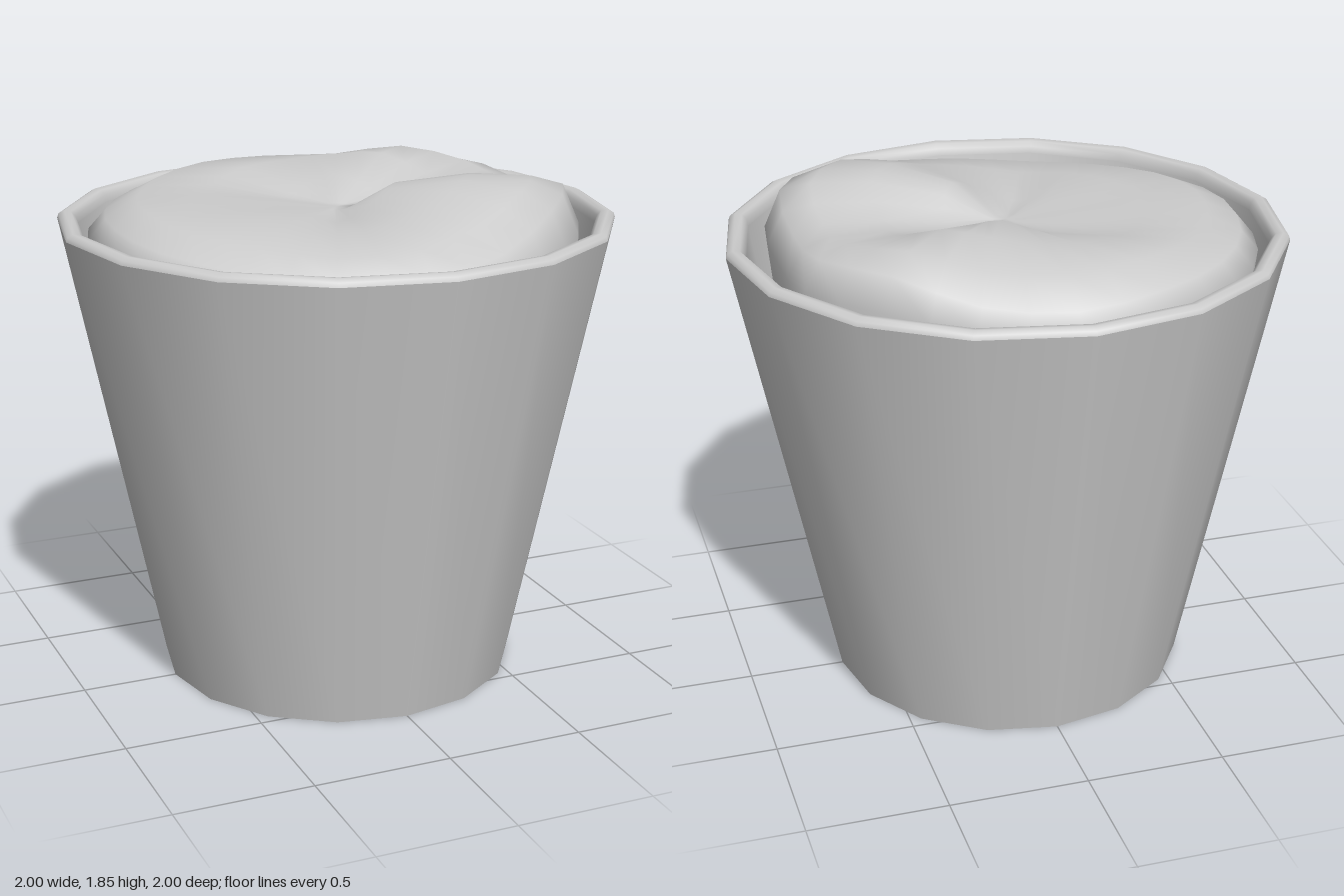
import * as THREE from 'three';

const SIDES = 16;
const material = new THREE.MeshStandardMaterial({ color: 0xcccccc, side: THREE.DoubleSide });

function part(name, geometry) {
  const mesh = new THREE.Mesh(geometry, material);
  mesh.name = name;
  return mesh;
}

function turned(name, profile) {
  const points = profile.map(([r, y]) => new THREE.Vector2(r, y));
  return part(name, new THREE.LatheGeometry(points, SIDES));
}

// Crumpled filling: closed curves around the axis, lofted from centre to skirt
function fillingGeometry() {
  // Outline radius every 22.5 degrees, from +x towards +z
  const outline = [0.82, 0.87, 0.86, 0.85, 0.88, 0.88, 0.86, 0.89, 0.89, 0.89, 0.89, 0.89, 0.88, 0.83, 0.83, 0.86];
  // [fraction of the outline, heights at the same angles]
  const rings = [
    [0.06, [1.72]],
    [0.25, [1.73, 1.80, 1.82, 1.79, 1.75, 1.71, 1.73, 1.74, 1.74, 1.74, 1.73, 1.73, 1.77, 1.79, 1.77, 1.72]],
    [0.55, [1.76, 1.84, 1.85, 1.80, 1.76, 1.73, 1.75, 1.76, 1.76, 1.76, 1.76, 1.79, 1.80, 1.82, 1.83, 1.77]],
    [0.80, [1.77, 1.83, 1.83, 1.76, 1.72, 1.70, 1.72, 1.74, 1.76, 1.76, 1.77, 1.78, 1.775, 1.78, 1.82, 1.79]],
    [0.93, [1.74, 1.80, 1.77, 1.68, 1.65, 1.64, 1.66, 1.69, 1.71, 1.71, 1.71, 1.71, 1.69, 1.70, 1.77, 1.76]],
    [1.00, [1.64, 1.66, 1.63, 1.57, 1.55, 1.55, 1.58, 1.61, 1.63, 1.64, 1.64, 1.64, 1.62, 1.62, 1.66, 1.66]],
    [0.97, [1.4]],
  ];
  const n = 32;
  const positions = [0, 1.72, 0];
  const index = [];
  for (const [fraction, heights] of rings) {
    const curve = new THREE.CatmullRomCurve3(outline.map((radius, i) => {
      const a = i / outline.length * Math.PI * 2;
      const r = radius * fraction;
      return new THREE.Vector3(r * Math.cos(a), heights[i % heights.length], r * Math.sin(a));
    }), true);
    for (let i = 0; i < n; i++) positions.push(...curve.getPoint(i / n).toArray());
  }
  for (let i = 0; i < n; i++) {
    const next = (i + 1) % n;
    index.push(0, 1 + next, 1 + i);
    for (let k = 0; k < rings.length - 1; k++) {
      const a = 1 + k * n + i, b = 1 + k * n + next;
      index.push(a, b, a + n, b, b + n, a + n);
    }
  }
  const geometry = new THREE.BufferGeometry();
  geometry.setAttribute('position', new THREE.Float32BufferAttribute(positions, 3));
  geometry.setIndex(index);
  geometry.computeVertexNormals();
  return geometry;
}

export function createModel() {
  const group = new THREE.Group();
  group.name = 'filledBin';

  // Tapered shell, open underneath; the two walls meet at the bottom edge
  group.add(turned('outerWall', [[0.65, 0], [1, 1.68]]));
  group.add(turned('rim', [[1, 1.68], [0.995, 1.695], [0.975, 1.706], [0.95, 1.702], [0.935, 1.685], [0.93, 1.66]]));
  group.add(turned('innerWall', [[0.93, 1.66], [0.65, 0]]));

  // Creased, lumpy contents
  group.add(part('crumpledFilling', fillingGeometry()));
  return group;
}
